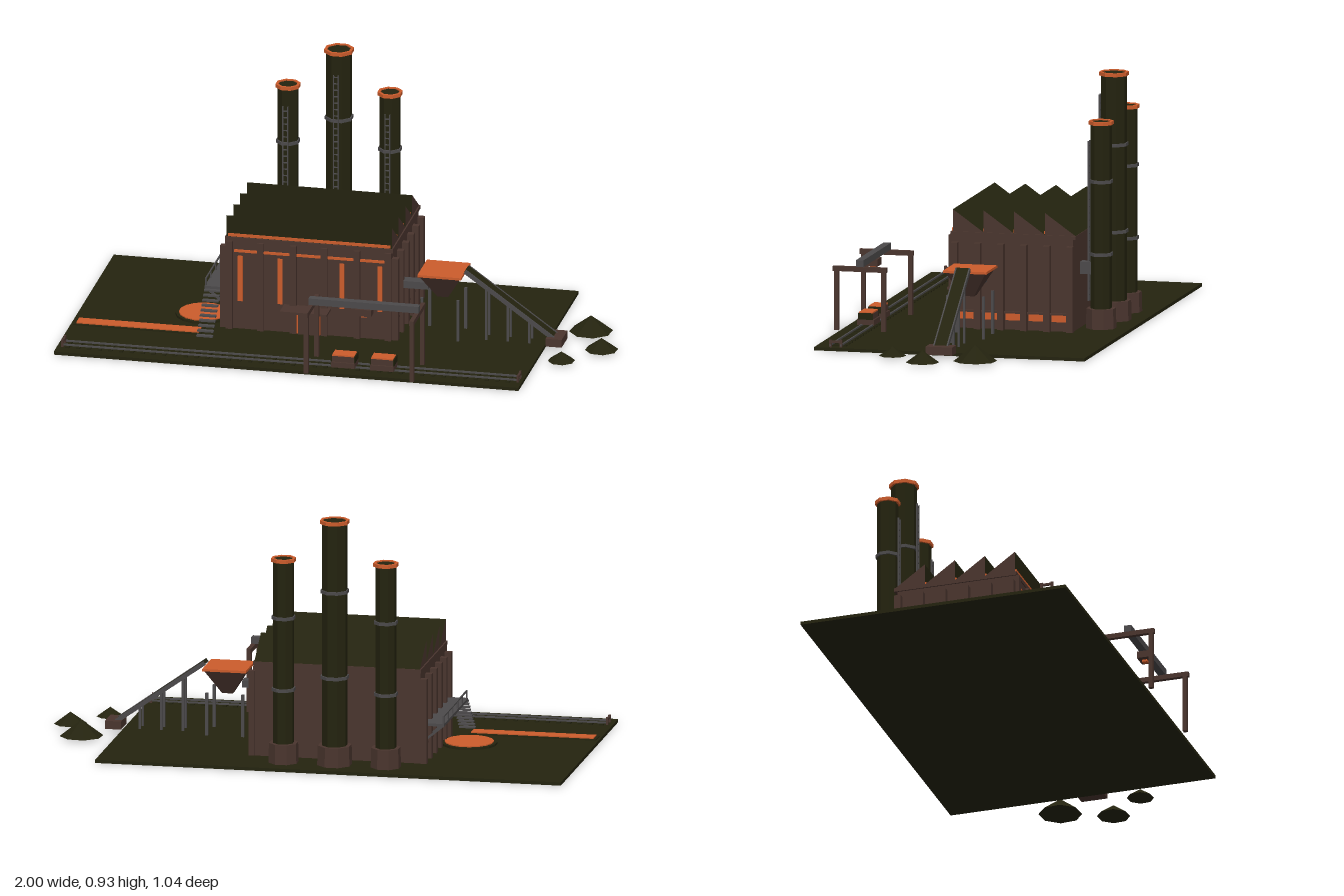
import * as THREE from 'three';

const mat = (name, color, side = THREE.FrontSide) => {
  const m = new THREE.MeshStandardMaterial({ color, flatShading: true, side });
  m.name = name;
  return m;
};

export function createModel() {
  const root = new THREE.Group();
  root.name = 'factory';
  const olive = mat('dark olive', 0x24230f);
  const brown = mat('dark brown', 0x4a352e);
  const grey = mat('steel grey', 0x4c4a4b);
  const orange = mat('glowing orange', 0xcc5c2c);

  const add = (name, geo, m, x = 0, y = 0, z = 0) => {
    const mesh = new THREE.Mesh(geo, m);
    mesh.name = name;
    mesh.position.set(x, y, z);
    root.add(mesh);
    return mesh;
  };
  // Box given by its min and max on each axis
  const box = (name, m, x0, x1, y0, y1, z0, z1) =>
    add(name, new THREE.BoxGeometry(x1 - x0, y1 - y0, z1 - z0), m, (x0 + x1) / 2, (y0 + y1) / 2, (z0 + z1) / 2);
  // Eight-sided drum with flat sides facing the axes
  const drum = (name, m, r0, r1, y0, y1, x, z, n = 8) =>
    add(name, new THREE.CylinderGeometry(r1, r0, y1 - y0, n).rotateY(Math.PI / n), m, x, (y0 + y1) / 2, z);
  // Square bar between two points
  const bar = (name, m, a, b, w, h = w) => {
    const p = new THREE.Vector3(...a), q = new THREE.Vector3(...b);
    const mesh = add(name, new THREE.BoxGeometry(w, h, p.distanceTo(q)), m);
    mesh.position.copy(p).add(q).multiplyScalar(0.5);
    mesh.lookAt(q);
    return mesh;
  };

  const G = 0.012;
  box('ground', olive, -1, 0.73, 0, G, -0.52, 0.495);

  // Main hall
  box('hallWalls', brown, -0.44, 0.175, G, 0.355, -0.335, 0.118);
  box('cornice', brown, -0.445, 0.18, 0.352, 0.366, -0.347, 0.122);

  // Sawtooth roof: brown gables, olive slopes
  const saw = new THREE.Shape();
  saw.moveTo(0.345, 0.364);
  for (let i = 3; i >= 0; i--) {
    const zFront = 0.115 - i * 0.115;
    if (i < 3) saw.lineTo(-zFront + 0.115, 0.368);
    saw.lineTo(-zFront, 0.447);
    saw.lineTo(-zFront, 0.364);
  }
  const teeth = [];
  for (let i = 0; i < 4; i++) {
    const f = -0.115 + i * 0.115;
    const tooth = new THREE.Shape([
      new THREE.Vector2(f, 0.362), new THREE.Vector2(f + 0.115, 0.362),
      new THREE.Vector2(f + 0.115, 0.366), new THREE.Vector2(f, 0.447)]);
    const geo = new THREE.ExtrudeGeometry(tooth, { depth: 0.615, bevelEnabled: false }).rotateY(Math.PI / 2);
    teeth.push(add('roofTooth', geo, [brown, olive], -0.44));
    box('roofLightStrip', orange, -0.435, 0.17, 0.368, 0.379, -f, -f + 0.004);
  }

  // Front wall: pilasters, tall windows, upper strip, door and canopy
  for (const x of [-0.428, -0.312, -0.19, -0.075, 0.047, 0.163])
    box('frontPilaster', brown, x - 0.012, x + 0.012, G, 0.352, 0.118, 0.131);
  for (const x of [-0.388, -0.24, -0.01, 0.132])
    box('tallWindow', orange, x - 0.009, x + 0.009, 0.12, 0.295, 0.118, 0.123);
  box('upperWindowStrip', orange, -0.41, 0.165, 0.31, 0.319, 0.118, 0.124);
  box('doorGlow', orange, -0.177, -0.09, G, 0.105, 0.118, 0.126);
  box('door', brown, -0.17, -0.097, G, 0.098, 0.126, 0.132);
  box('doorCanopy', brown, -0.225, -0.05, 0.112, 0.12, 0.118, 0.195);

  // Side walls: pilasters and low windows, mirrored
  for (const s of [-1, 1]) {
    const wall = s > 0 ? 0.175 : -0.44;
    const span = (d) => [Math.min(wall, wall + s * d), Math.max(wall, wall + s * d)];
    for (let i = 0; i < 6; i++) {
      const z = -0.327 + i * 0.0865;
      box('sidePilaster', brown, ...span(0.024), G, 0.328, z - 0.012, z + 0.012);
      if (i < 5) {
        box('lowWindow', orange, ...span(0.006), 0.047, 0.072, z + 0.015, z + 0.071);
        box('windowLintel', brown, ...span(0.012), 0.073, 0.08, z + 0.012, z + 0.075);
      }
    }
  }

  // Chimneys with base, bands, glowing rim, ladder and flue
  const chimney = (x, r, top, ladderTop, bands) => {
    const z = -0.41, k = 1 / Math.cos(Math.PI / 8);
    drum('chimneyBase', brown, (r + 0.016) * k, (r + 0.014) * k, G, 0.085, x, z);
    drum('chimneyShaft', olive, r * k, r * k, 0.08, top - 0.004, x, z);
    const rim = new THREE.LatheGeometry(
      [[r - 0.003, top - 0.013], [r + 0.007, top - 0.013], [r + 0.007, top], [r - 0.003, top], [r - 0.003, top - 0.013]]
        .map(([a, b]) => new THREE.Vector2(a * k, b)), 8).rotateY(Math.PI / 8);
    add('chimneyRim', rim, orange, x, 0, z);
    for (const y of bands) drum('chimneyBand', grey, (r + 0.005) * k, (r + 0.005) * k, y - 0.006, y + 0.006, x, z);
    const lz = z + r + 0.008;
    for (const s of [-1, 1])
      box('ladderRail', grey, x + s * 0.009 - 0.002, x + s * 0.009 + 0.002, 0.11, ladderTop, lz - 0.002, lz + 0.004);
    for (let y = 0.13; y < ladderTop; y += 0.025)
      box('ladderRung', grey, x - 0.009, x + 0.009, y, y + 0.004, lz - 0.001, lz + 0.002);
    box('flueDuct', grey, x - 0.018, x + 0.018, 0.21, 0.255, z + r - 0.01, -0.33);
  };
  chimney(-0.327, 0.036, 0.775, 0.7, [0.285, 0.553]);
  chimney(-0.137, 0.044, 0.926, 0.84, [0.34, 0.66]);
  chimney(0.053, 0.036, 0.775, 0.7, [0.285, 0.553]);

  // Raised walkway and stairs along the model's right wall
  box('walkway', grey, -0.525, -0.445, 0.15, 0.16, -0.32, 0.1);
  box('walkwayRail', grey, -0.524, -0.519, 0.185, 0.19, -0.32, 0.1);
  for (let i = 0; i < 6; i++) {
    const z = -0.315 + i * 0.082;
    box('railPost', grey, -0.524, -0.519, 0.155, 0.188, z - 0.003, z + 0.003);
    bar('walkwayBracket', grey, [-0.52, 0.152, z], [-0.445, 0.09, z], 0.008);
  }
  for (let i = 0; i < 10; i++) {
    const z = 0.235 - i * 0.0143, y = 0.018 + i * 0.0143;
    box('stairTread', grey, -0.525, -0.465, y - 0.003, y + 0.003, z - 0.008, z + 0.008);
  }

  // Molten pool and casting channel
  drum('poolRim', olive, 0.102, 0.102, G, 0.02, -0.55, 0.005, 16);
  drum('moltenPool', orange, 0.09, 0.09, G, 0.024, -0.55, 0.005, 16);
  box('channelBed', olive, -0.99, -0.515, G, 0.016, 0.145, 0.215);
  box('moltenChannel', orange, -0.98, -0.525, G, 0.02, 0.155, 0.205);

  // Rail track with end stops
  for (const z of [0.397, 0.437]) {
    box('rail', grey, -0.98, 0.72, 0.017, 0.023, z - 0.003, z + 0.003);
    for (const x of [-0.98, 0.715]) box('stopPost', brown, x - 0.004, x + 0.004, G, 0.04, z - 0.005, z + 0.005);
  }
  for (let x = -0.96; x < 0.72; x += 0.04) box('sleeper', olive, x - 0.007, x + 0.007, G, 0.017, 0.383, 0.451);
  for (const x of [-0.98, 0.715]) box('stopBeam', brown, x - 0.004, x + 0.004, 0.028, 0.036, 0.392, 0.442);

  // Ore wagons
  for (const x of [0.067, 0.212]) {
    box('wagonChassis', brown, x - 0.044, x + 0.044, 0.02, 0.04, 0.39, 0.455);
    box('wagonBin', brown, x - 0.042, x + 0.042, 0.04, 0.062, 0.396, 0.449);
    for (const s of [-1, 1])
      box('wagonEnd', olive, x + s * 0.043 - 0.002, x + s * 0.043 + 0.002, 0.04, 0.064, 0.395, 0.45);
    box('wagonLoad', orange, x - 0.041, x + 0.041, 0.062, 0.067, 0.397, 0.448);
  }

  // Gantry crane over the track
  for (const x of [-0.057, 0.337]) {
    box('gantryBeam', brown, x - 0.008, x + 0.008, 0.23, 0.248, 0.322, 0.523);
    for (const z of [0.333, 0.51]) box('gantryLeg', brown, x - 0.008, x + 0.008, G, 0.23, z - 0.008, z + 0.008);
  }
  box('craneGirder', grey, -0.065, 0.345, 0.248, 0.273, 0.408, 0.436);
  box('craneTrolley', brown, 0.11, 0.17, 0.222, 0.248, 0.4, 0.444);
  box('craneHook', orange, 0.13, 0.15, 0.214, 0.222, 0.412, 0.432);

  // Hopper on legs, with feed duct into the hall
  const hx = 0.345, hz = 0.007;
  add('hopperFunnel', new THREE.CylinderGeometry(0.075 * Math.SQRT2, 0.02 * Math.SQRT2, 0.092, 4).rotateY(Math.PI / 4),
    brown, hx, 0.207, hz);
  box('hopperLoad', orange, hx - 0.081, hx + 0.081, 0.253, 0.262, hz - 0.081, hz + 0.081);
  for (const dx of [-0.067, 0.067]) for (const dz of [-0.067, 0.067])
    box('hopperLeg', grey, hx + dx - 0.005, hx + dx + 0.005, G, 0.17, hz + dz - 0.005, hz + dz + 0.005);
  box('feedDuct', grey, 0.175, 0.29, 0.185, 0.212, -0.013, 0.03);

  // Sloping conveyor with posts and loading box
  const cz = 0.012;
  bar('conveyorBelt', olive, [0.43, 0.272, cz], [0.76, 0.035, cz], 0.046, 0.01);
  for (const s of [-1, 1]) {
    const z = cz + s * 0.025;
    bar('conveyorFrame', grey, [0.43, 0.27, z], [0.77, 0.028, z], 0.005, 0.016);
    for (const x of [0.51, 0.59, 0.67]) {
      const y = 0.27 - (x - 0.43) * 0.712;
      box('conveyorPost', grey, x - 0.004, x + 0.004, G, y, z - 0.004, z + 0.004);
    }
  }
  box('loadingBox', brown, 0.735, 0.795, 0.012, 0.042, -0.04, 0.06);

  // Coal piles
  for (const [x, z, r, h] of [[0.86, -0.143, 0.08, 0.06], [0.938, 0.035, 0.061, 0.044], [0.82, 0.177, 0.05, 0.035]])
    add('coalPile', new THREE.ConeGeometry(r, h, 8).rotateY(0.3), olive, x, 0.008 + h / 2, z);

  return root;
}
